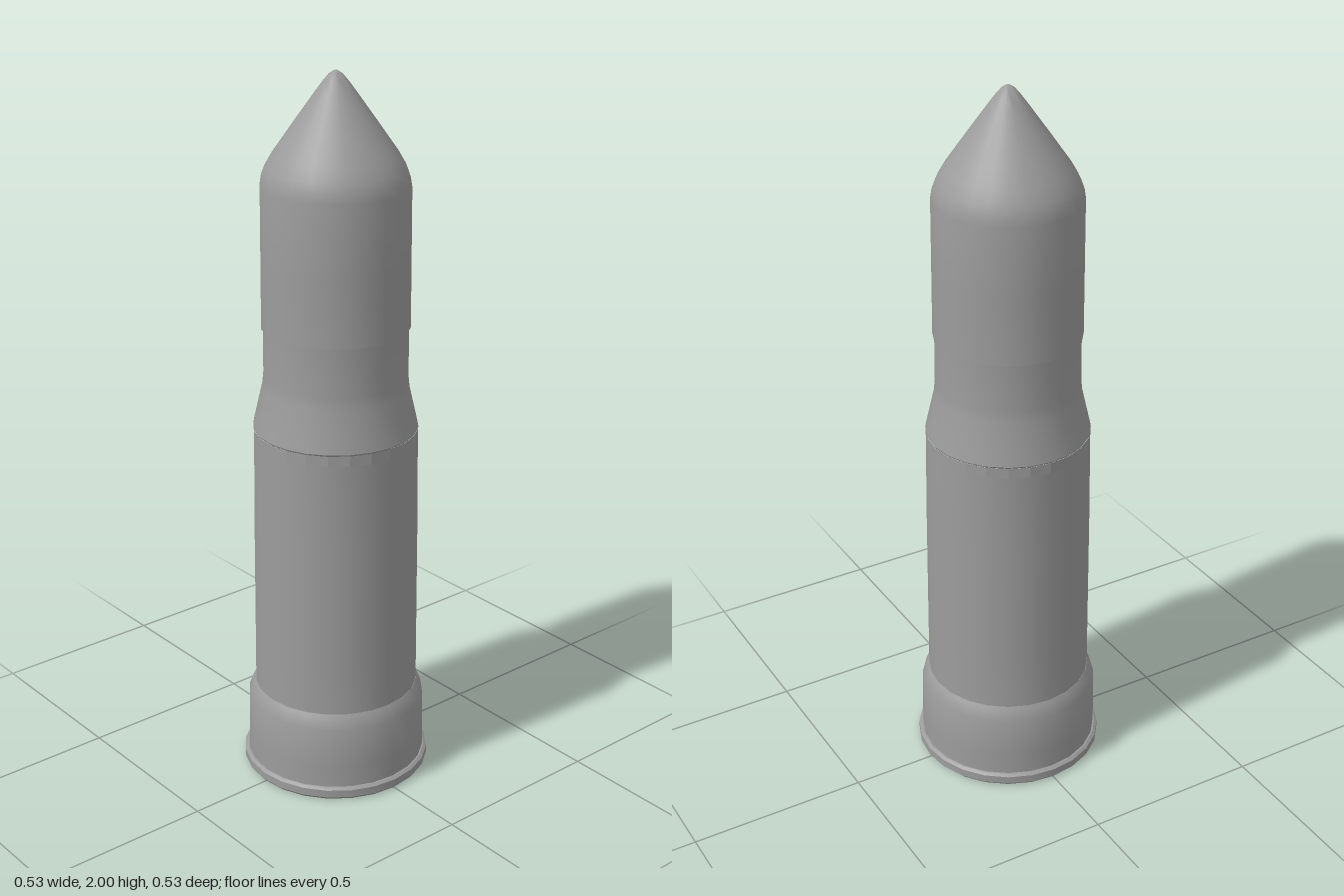
import * as THREE from 'three';
import { toCreasedNormals } from 'three/addons/utils/BufferGeometryUtils.js';

const SIDES = 24;

export function createModel() {
  const group = new THREE.Group();
  const metal = new THREE.MeshStandardMaterial({ color: 0x9c9c9c });
  metal.name = 'grey metal';

  // Turned part from [radius, height] pairs, listed bottom to top
  const turned = (name, profile, crease = 0.5) => {
    const points = profile.map(([r, y]) => new THREE.Vector2(r, y));
    const geometry = toCreasedNormals(new THREE.LatheGeometry(points, SIDES), crease);
    const mesh = new THREE.Mesh(geometry, metal);
    mesh.name = name;
    group.add(mesh);
  };

  // Primer set in the middle of the underside
  turned('primer', [[0, 0.004], [0.075, 0.004], [0.08, 0.008], [0.094, 0.008]]);

  // Flat underside and projecting rim
  turned('rim', [
    [0.094, 0.008], [0.094, 0.002], [0.215, 0.002], [0.22, 0],
    [0.258, 0], [0.265, 0.008], [0.265, 0.03], [0.257, 0.036], [0.25, 0.036],
  ]);

  // Thick base sleeve with sloped shoulder
  turned('baseSleeve', [
    [0.253, 0.034], [0.253, 0.1], [0.25, 0.215], [0.236, 0.25], [0.232, 0.256], [0.222, 0.256],
  ]);

  // Main case body
  turned('caseBody', [[0.231, 0.25], [0.23, 0.42], [0.228, 0.75], [0.225, 1.0]]);

  // Faceted crimp band
  turned('crimpBand', [[0.225, 1.0], [0.225, 1.03], [0.228, 1.032]], 0.1);

  // Tapered shoulder and straight neck
  turned('shoulderAndNeck', [
    [0.224, 1.03], [0.226, 1.034], [0.223, 1.05], [0.2, 1.15], [0.197, 1.18], [0.196, 1.32],
  ]);

  // Projectile with pointed nose
  turned('projectile', [
    [0.19, 1.318], [0.201, 1.318], [0.2, 1.5], [0.199, 1.7], [0.195, 1.725], [0.186, 1.75],
    [0.166, 1.785], [0.14, 1.822], [0.11, 1.865], [0.08, 1.907], [0.053, 1.945],
    [0.033, 1.972], [0.018, 1.99], [0.006, 1.998], [0, 2],
  ]);

  return group;
}
